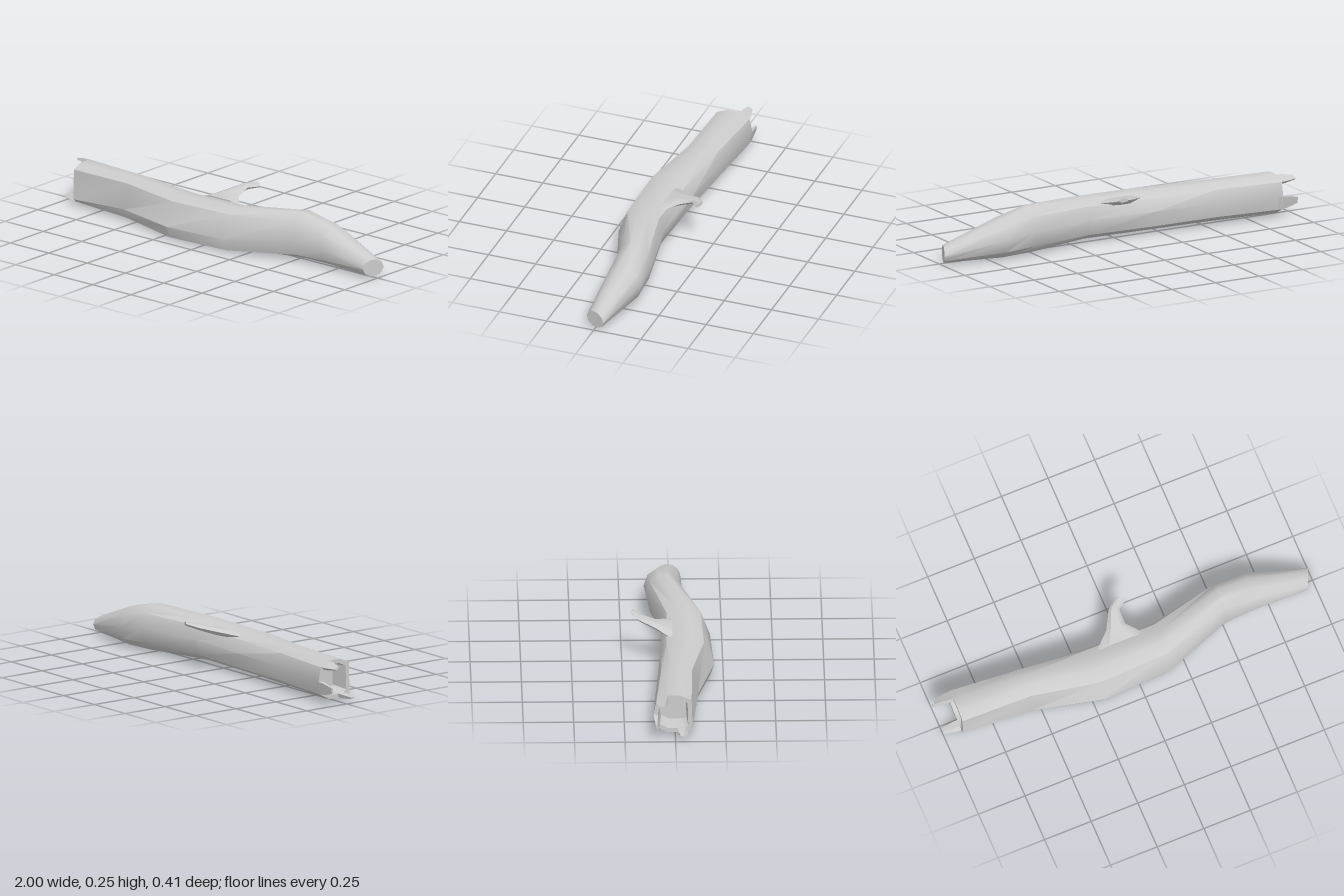
import * as THREE from 'three';
import { toCreasedNormals } from 'three/addons/utils/BufferGeometryUtils.js';

const V = (x, y, z) => new THREE.Vector3(x, y, z);
const material = new THREE.MeshStandardMaterial({ color: 0xcccccc });

// Skin a list of equal-length rings and close both ends.
function loft(name, rings, crease = 0.7) {
  const n = rings[0].length, pos = [];
  const tri = (...ps) => ps.forEach((p) => pos.push(p.x, p.y, p.z));
  const middle = (ring) => ring.reduce((s, p) => s.add(p), V(0, 0, 0)).divideScalar(n);
  const first = rings[0], last = rings[rings.length - 1];
  const c0 = middle(first), c1 = middle(last);
  for (let j = 0; j < n; j++) {
    const k = (j + 1) % n;
    for (let i = 0; i + 1 < rings.length; i++) {
      const a = rings[i], b = rings[i + 1];
      tri(a[j], b[j], b[k]);
      tri(a[j], b[k], a[k]);
    }
    tri(c0, first[j], first[k]);
    tri(c1, last[k], last[j]);
  }
  const geometry = new THREE.BufferGeometry();
  geometry.setAttribute('position', new THREE.Float32BufferAttribute(pos, 3));
  const mesh = new THREE.Mesh(toCreasedNormals(geometry, crease), material);
  mesh.name = name;
  return mesh;
}

// Unit cross-sections as [z, y], starting at the front and going over the top.
const ROUND = Array.from({ length: 10 }, (_, i) => [Math.cos(i * Math.PI / 5), Math.sin(i * Math.PI / 5) / 0.951]);
const BULGE = [[1, -0.37], [0.62, 0.76], [0.13, 1], [-0.32, 0.95], [-0.77, 0.71],
  [-1, 0.13], [-0.85, -0.63], [-0.4, -0.92], [0.13, -1], [0.85, -0.92]];
const BOXY = [[1, -0.8], [0.95, 0.76], [0.4, 1], [-0.3, 1], [-0.85, 0.72],
  [-1, 0], [-0.85, -0.7], [-0.3, -1], [0.3, -1], [0.8, -0.96]];

// One ring of the trunk, between given z and y limits.
function section(x, z0, z1, y0, y1, from, to = from, mix = 0, tilt = 0) {
  return from.map(([a, b], i) => {
    const u = THREE.MathUtils.lerp(a, to[i][0], mix);
    const v = THREE.MathUtils.lerp(b, to[i][1], mix);
    return V(x - tilt * u, (y0 + y1) / 2 + v * (y1 - y0) / 2, (z0 + z1) / 2 + u * (z1 - z0) / 2);
  });
}

// Shrink a ring about a centre, then move it along x.
const inset = (ring, c, s, dx) => ring.map((p) => p.clone().sub(c).multiplyScalar(s).add(c).add(V(dx, 0, 0)));

export function createModel() {
  const group = new THREE.Group();
  group.name = 'fallenLog';

  // Trunk: hollow at the broken end, solid at the tapered end
  const rim = section(-0.91, -0.108, 0.086, 0.013, 0.21, BOXY);
  const core = V(-0.91, 0.112, -0.011);
  const innerRim = inset(rim, core, 0.78, 0);
  group.add(loft('trunk', [
    inset(rim, core, 0.7, 0.1),
    innerRim,
    rim,
    section(-0.55, -0.085, 0.12, 0.01, 0.214, BOXY, BULGE, 0.75),
    section(-0.2, -0.062, 0.205, 0, 0.21, BULGE),
    section(0.16, -0.052, 0.19, 0.003, 0.216, BULGE),
    section(0.51, -0.12, 0.066, 0.004, 0.24, ROUND, BULGE, 0.5),
    section(0.68, -0.13, 0.06, 0.004, 0.2, ROUND, BULGE, 0.2),
    section(0.975, -0.05, 0.055, 0.007, 0.09, ROUND, ROUND, 0, 0.023),
  ]));

  // Splintered prongs continuing the wall past the broken end
  for (const j of [3, 5, 8]) {
    const k = (j + 1) % 10;
    const base = [innerRim[j], innerRim[k], rim[k], rim[j]];
    const c = base.reduce((s, p) => s.add(p), V(0, 0, 0)).multiplyScalar(0.25);
    group.add(loft('splinter', [inset(base, c, 0.98, 0.02), inset(base, c, 0.9, -0.03), inset(base, c, 0.45, -0.09)], 0.3));
  }

  // Broken side branch: centre, half width vector, half thickness
  const path = [
    [V(-0.03, 0.185, 0.0), V(0.13, 0, 0), 0.018],
    [V(-0.022, 0.205, -0.08), V(0.05, 0, 0), 0.018],
    [V(0.002, 0.231, -0.16), V(0.024, 0, 0.01), 0.013],
    [V(0.057, 0.243, -0.197), V(0.023, -0.003, 0.012), 0.009],
  ];
  group.add(loft('branch', path.map(([c, w, t]) => Array.from({ length: 6 }, (_, i) => {
    const a = i * Math.PI / 3;
    return c.clone().addScaledVector(w, Math.cos(a)).add(V(0, t * Math.sin(a) / 0.866, 0));
  }))));

  return group;
}
